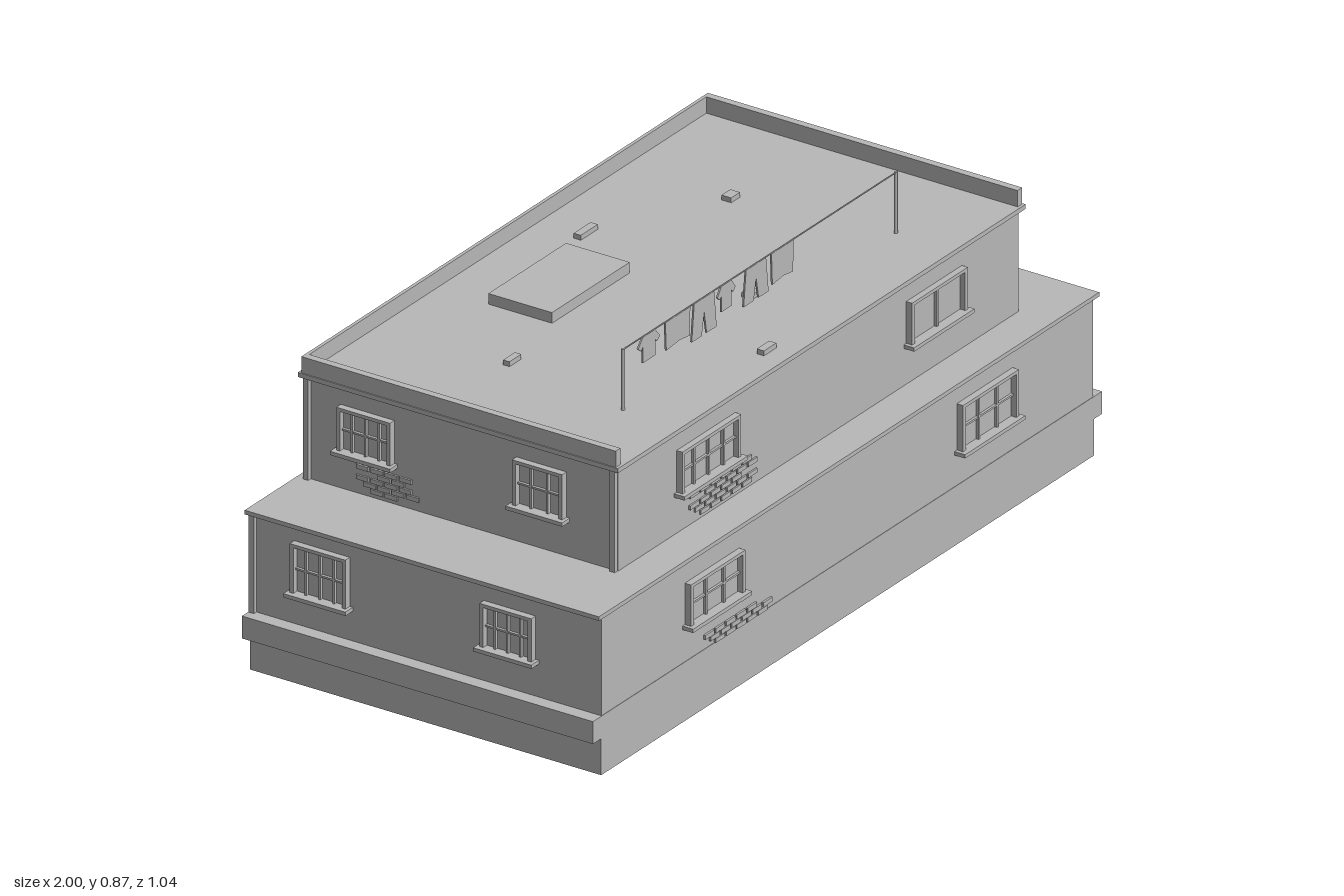
import * as THREE from 'three';

// The plan is a parallelogram: x runs along the long walls, z along the short walls
const skew = new THREE.Matrix4().makeBasis(
  new THREE.Vector3(0.9932, 0, -0.1167), new THREE.Vector3(0, 1, 0), new THREE.Vector3(0.312, 0, 0.95));

export function createModel() {
  const model = new THREE.Group();
  model.name = 'house';
  const plaster = new THREE.MeshStandardMaterial({ color: 0xb8b8b8 });
  plaster.name = 'greyPlaster';

  function add(name, geo, parent = model) {
    const mesh = new THREE.Mesh(geo.applyMatrix4(skew), plaster);
    mesh.name = name;
    parent.add(mesh);
    return mesh;
  }
  // Box from its centre in plan and its bottom and top heights
  function block(name, a, b, w, d, y0, y1, parent) {
    const geo = new THREE.BoxGeometry(w, y1 - y0, d).translate(a, (y0 + y1) / 2, b);
    return add(name, geo, parent);
  }
  function group(name) {
    const g = new THREE.Group();
    g.name = name;
    model.add(g);
    return g;
  }

  // Floors: plan centre and half sizes
  const lower = { a: 0, b: 0, A: 0.838, B: 0.441 };
  const upper = { a: 0.014, b: -0.036, A: 0.683, B: 0.393 };

  block('base', 0, 0, 1.68, 0.882, 0, 0.155);
  for (const s of [-1, 1]) block('baseBand', s * 0.851, 0, 0.034, 0.882, 0.096, 0.155);
  block('lowerWalls', 0, 0, 1.676, 0.88, 0.155, 0.415);
  block('lowerRoofSlab', 0, 0, 1.706, 0.89, 0.414, 0.425);
  block('upperWalls', upper.a, upper.b, 1.366, 0.786, 0.425, 0.695);
  block('upperRoofSlab', upper.a, upper.b, 1.39, 0.804, 0.692, 0.704);

  // Parapet on three sides, open at the front
  for (const s of [-1, 1]) block('sideParapet', upper.a + s * 0.685, upper.b, 0.016, 0.79, 0.704, 0.747);
  block('backParapet', upper.a, upper.b - 0.391, 1.37, 0.008, 0.704, 0.747);

  // Box on a wall: s along the wall, o0 to o1 outwards from it
  function onWall(name, floor, side, s, w, y0, y1, o0, o1, parent) {
    const o = (o0 + o1) / 2, d = o1 - o0;
    if (side === 'front' || side === 'back') {
      const k = side === 'front' ? 1 : -1;
      block(name, s, floor.b + k * (floor.B + o), w, d, y0, y1, parent);
    } else {
      const k = side === 'right' ? 1 : -1;
      block(name, floor.a + k * (floor.A + o), s, d, w, y0, y1, parent);
    }
  }

  // Window with a frame, glazing bars, sill and lintel
  function addWindow(floor, side, s, w, y0, y1, cols, rows) {
    const g = group('window'), f = 0.009;
    const part = (name, ds, pw, p0, p1, out) =>
      onWall(name, floor, side, s + ds, pw, p0, p1, -0.004, out, g);
    for (const k of [-1, 1]) part('windowJamb', k * (w - f) / 2, f, y0, y1, 0.015);
    part('windowLintel', 0, w, y1 - f, y1, 0.015);
    part('windowSill', 0, w + 0.016, y0 - 0.004, y0 + 0.006, 0.026);
    part('windowPane', 0, w - 2 * f, y0, y1 - f, 0.002);
    for (let i = 1; i < cols; i++) part('glazingBar', (i / cols - 0.5) * w, 0.005, y0, y1 - f, 0.009);
    for (let i = 1; i < rows; i++) {
      const y = y0 + (y1 - y0) * i / rows;
      part('glazingBar', 0, w - f, y - 0.0025, y + 0.0025, 0.008);
    }
  }
  const windows = [
    [lower, 'front', -0.461, 0.185, 0.247, 0.362, 3, 2],
    [lower, 'front', 0.469, 0.19, 0.242, 0.37, 3, 2],
    [upper, 'front', -0.369, 0.2, 0.527, 0.643, 4, 2],
    [upper, 'front', 0.409, 0.19, 0.527, 0.643, 2, 1],
    [lower, 'back', 0.461, 0.21, 0.24, 0.37, 3, 2],
    [lower, 'back', -0.435, 0.22, 0.242, 0.367, 4, 2],
    [upper, 'back', 0.407, 0.19, 0.525, 0.643, 3, 2],
    [upper, 'back', -0.338, 0.185, 0.525, 0.645, 1, 1],
    [lower, 'right', 0.249, 0.128, 0.246, 0.366, 4, 2],
    [lower, 'right', -0.241, 0.145, 0.238, 0.373, 4, 2],
    [upper, 'right', 0.18, 0.126, 0.521, 0.649, 2, 1],
    [upper, 'right', -0.262, 0.135, 0.526, 0.64, 4, 3],
    [lower, 'left', -0.262, 0.14, 0.238, 0.373, 4, 2],
    [lower, 'left', 0.21, 0.13, 0.246, 0.366, 4, 2],
    [upper, 'left', -0.272, 0.135, 0.526, 0.645, 4, 2],
    [upper, 'left', 0.165, 0.126, 0.521, 0.646, 3, 2],
  ];
  for (const w of windows) addWindow(...w);
  onWall('openShutter', lower, 'back', 0.325, 0.055, 0.244, 0.366, 0, 0.014);

  // Patches of exposed brick with ragged ends
  function bricks(floor, side, s, w, y0, y1) {
    const g = group('brickPatch'), rows = Math.round((y1 - y0) / 0.0145);
    const n = Math.max(2, Math.round(w / 0.036));
    for (let r = 0; r < rows; r++) {
      for (let i = 0; i < n; i++) {
        if ((i === 0 || i === n - 1) && (r * 5 + i) % 3 === 0) continue;
        const x = s + (i + 0.5 - n / 2) * 0.036 + (r % 2 ? 0.009 : -0.009);
        const y = y0 + r * (y1 - y0) / rows;
        onWall('brick', floor, side, x, 0.031, y, y + 0.0115, -0.002, 0.004, g);
      }
    }
  }
  bricks(lower, 'front', -0.375, 0.21, 0.156, 0.195);
  bricks(upper, 'front', -0.313, 0.2, 0.436, 0.51);
  bricks(lower, 'right', -0.297, 0.14, 0.156, 0.232);
  bricks(upper, 'back', -0.444, 0.22, 0.436, 0.51);
  bricks(upper, 'left', -0.22, 0.13, 0.436, 0.505);

  // Drainpipes close to the corners
  for (const [floor, y0, y1] of [[lower, 0.155, 0.415], [upper, 0.425, 0.693]]) {
    const b = floor.b - floor.B + 0.008;
    onWall('drainpipe', floor, 'right', b, 0.013, y0, y1, 0, 0.009);
    onWall('drainpipe', floor, 'left', b, 0.013, y0, y1, 0, 0.009);
  }
  onWall('drainpipe', upper, 'left', upper.b + upper.B - 0.008, 0.013, 0.425, 0.693, 0, 0.009);

  // Roof hatch and small loose blocks
  block('roofHatch', -0.0975, -0.212, 0.265, 0.16, 0.704, 0.732);
  const lumps = [[0.128, -0.311, 0.058, 0.018], [0.411, -0.155, 0.03, 0.024],
    [-0.412, -0.098, 0.04, 0.016], [0.083, 0.1365, 0.027, 0.026], [-0.097, 0.309, 0.042, 0.018]];
  for (const [a, b, w, d] of lumps) block('roofBlock', a, b, w, d, 0.704, 0.717);

  // Washing line on two poles
  const lineB = 0.219, top = 0.865;
  for (const a of [-0.464, 0.466]) {
    add('linePole', new THREE.CylinderGeometry(0.004, 0.004, top - 0.704, 8)
      .translate(a, (top + 0.704) / 2, lineB));
  }
  block('washingLine', 0.001, lineB, 0.93, 0.0025, 0.862, 0.8645);

  // Clothes as outlines one unit wide and one unit tall, hung from the line
  const shirt = [[-0.28, 0], [0.28, 0], [0.5, -0.35], [0.36, -0.5], [0.28, -0.38],
    [0.28, -1], [-0.28, -1], [-0.28, -0.38], [-0.36, -0.5], [-0.5, -0.35]];
  const trousers = [[-0.4, 0], [0.4, 0], [0.5, -1], [0.1, -1], [0, -0.4], [-0.1, -1], [-0.5, -1]];
  const towel = [[-0.5, 0], [0.5, 0], [0.48, -1], [0.05, -0.93], [-0.46, -1]];
  const laundry = [[-0.378, 0.075, 0.068, shirt], [-0.28, 0.085, 0.075, towel],
    [-0.19, 0.085, 0.097, trousers], [-0.114, 0.062, 0.068, shirt],
    [-0.013, 0.085, 0.093, trousers], [0.077, 0.075, 0.083, towel]];
  for (const [a, w, h, outline] of laundry) {
    const shape = new THREE.Shape(outline.map(([x, y]) => new THREE.Vector2(x * w, y * h)));
    const geo = new THREE.ExtrudeGeometry(shape, { depth: 0.004, bevelEnabled: false });
    add('laundry', geo.translate(a, 0.863, lineB - 0.002));
  }
  return model;
}
